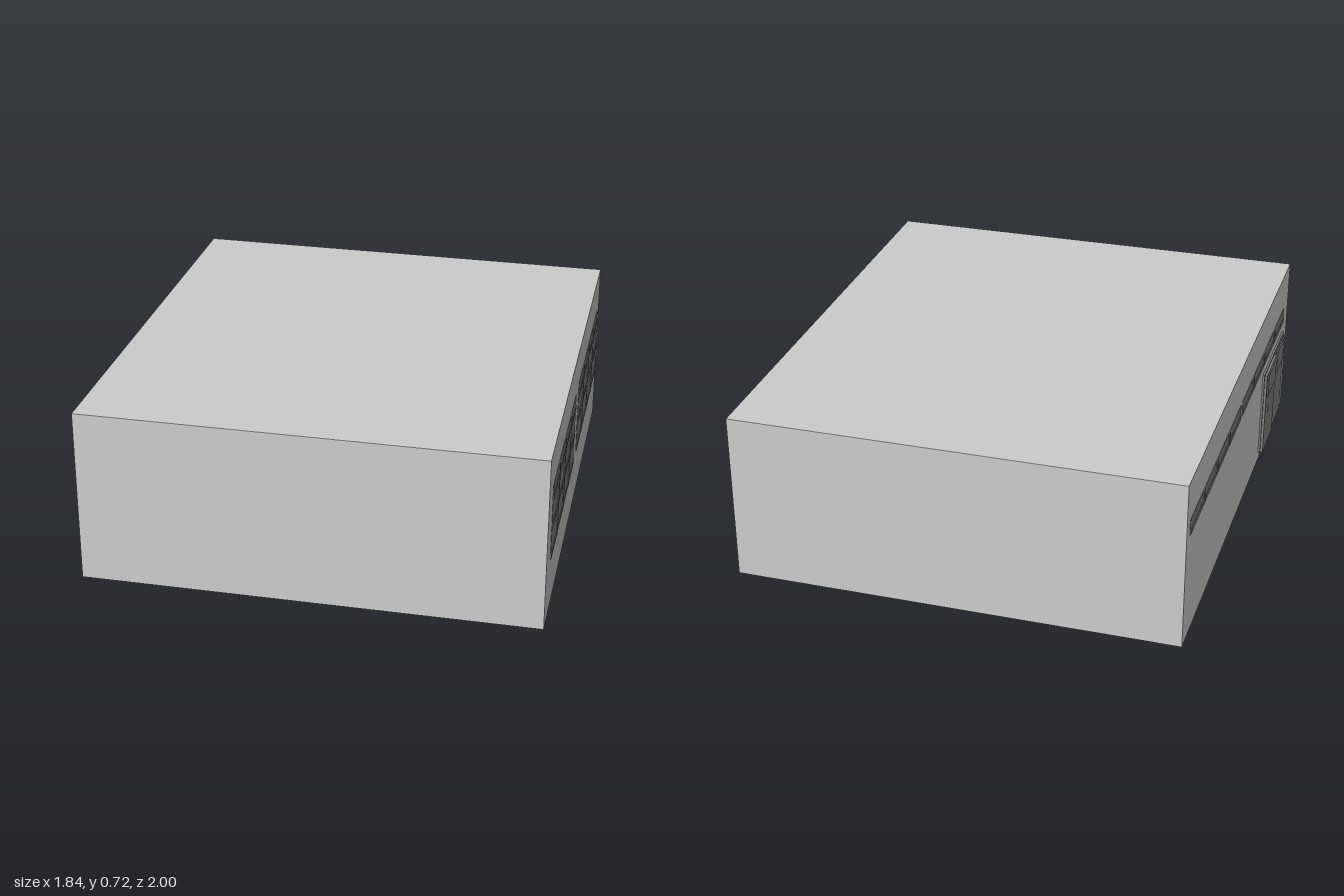
import * as THREE from 'three';

const wallMat = new THREE.MeshStandardMaterial({ color: 0xcccccc, flatShading: true });
const darkMat = new THREE.MeshStandardMaterial({ color: 0x828282, flatShading: true });

const LEFT = 0.915, RIGHT = -0.895; // wall planes

// Box given by its extents on each axis
function block(name, [x0, x1], [y0, y1], [z0, z1], material = darkMat) {
  const geo = new THREE.BoxGeometry(x1 - x0, y1 - y0, z1 - z0);
  const mesh = new THREE.Mesh(geo, material);
  mesh.position.set((x0 + x1) / 2, (y0 + y1) / 2, (z0 + z1) / 2);
  mesh.name = name;
  return mesh;
}

// Pane with upright mullions and level rails; wall is the wall plane, out is +1 or -1
function gridWindow(name, wall, out, [y0, y1], [z0, z1], mullions, rails) {
  const group = new THREE.Group();
  group.name = name;
  const depth = (d) => [wall - out * 0.01, wall + out * d].sort((a, b) => a - b);
  group.add(block('pane', depth(0.0015), [y0, y1], [z0, z1]));
  for (const z of mullions) {
    group.add(block('mullion', depth(0.005), [y0, y1 + 0.002], [z - 0.012, z + 0.012]));
  }
  for (const y of rails) {
    group.add(block('rail', depth(0.004), [y - 0.01, y + 0.01], [z0, z1]));
  }
  return group;
}

export function createModel() {
  const model = new THREE.Group();
  model.name = 'building';

  // Main block, sheared so floor and roof drop slightly toward the left wall
  const bodyGeo = new THREE.BoxGeometry(LEFT - RIGHT, 0.703, 2);
  const pos = bodyGeo.attributes.position;
  for (let i = 0; i < pos.count; i++) {
    pos.setY(i, pos.getY(i) + (pos.getX(i) > 0 ? 0 : 0.02));
  }
  bodyGeo.computeVertexNormals();
  const body = new THREE.Mesh(bodyGeo, wallMat);
  body.position.set((LEFT + RIGHT) / 2, 0.3515, 0);
  body.name = 'body';
  model.add(body);

  // Two large windows on the left wall
  for (const z0 of [0.03, -0.92]) {
    const mullions = [0.21, 0.42, 0.635].map((d) => z0 + d);
    model.add(gridWindow('largeWindow', LEFT, 1, [0.228, 0.54], [z0, z0 + 0.84], mullions, [0.238, 0.367, 0.488]));
  }

  // Two narrow window strips high on the right wall
  for (const z0 of [-0.95, -0.01]) {
    const mullions = [1, 2, 3].map((i) => z0 + i * 0.2275);
    model.add(gridWindow('stripWindow', RIGHT, -1, [0.49, 0.55], [z0, z0 + 0.91], mullions, [0.496]));
  }

  // Double door on the right wall
  const door = new THREE.Group();
  door.name = 'doubleDoor';
  door.add(block('doorFrame', [RIGHT - 0.008, RIGHT + 0.01], [0.055, 0.437], [0.455, 0.9]));
  for (const [z0, z1, front] of [[0.465, 0.675, 0.018], [0.695, 0.89, 0.012]]) {
    const x = RIGHT - front;
    door.add(block('doorLeaf', [x, RIGHT], [0.055, 0.43], [z0, z1]));
    door.add(block('doorWindow', [x - 0.005, x], [0.32, 0.425], [z0 + 0.02, z1 - 0.02]));
  }
  door.add(block('doorHandle', [RIGHT - 0.024, RIGHT - 0.018], [0.245, 0.27], [0.49, 0.515]));
  model.add(door);

  return model;
}
